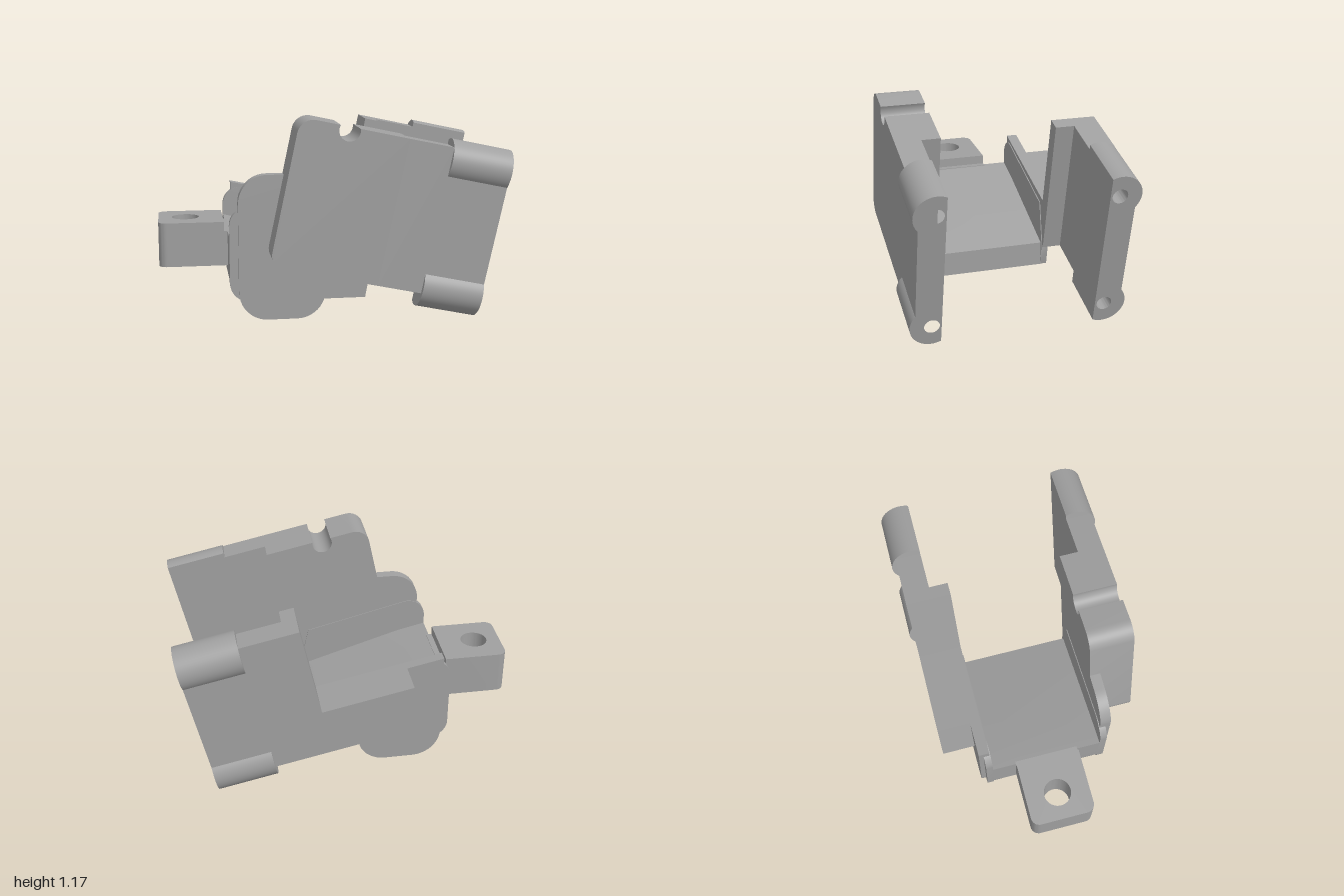
import * as THREE from 'three';
import { toCreasedNormals } from 'three/addons/utils/BufferGeometryUtils.js';

const TILT = -0.21; // lean of the side plates
const grey = new THREE.MeshStandardMaterial({ color: 0xa0a0a0 });
grey.name = 'plain grey';

// Polygon whose points [x, y, r] get a corner of radius r
function outline(points) {
  const shape = new THREE.Shape();
  const n = points.length;
  points.forEach(([x, y, r = 0], i) => {
    const p = new THREE.Vector2(x, y);
    const a = new THREE.Vector2(...points[(i + n - 1) % n].slice(0, 2)).sub(p).normalize();
    const b = new THREE.Vector2(...points[(i + 1) % n].slice(0, 2)).sub(p).normalize();
    if (!r) {
      i ? shape.lineTo(x, y) : shape.moveTo(x, y);
      return;
    }
    const half = Math.acos(a.dot(b)) / 2;
    const start = p.clone().addScaledVector(a, r / Math.tan(half));
    const end = p.clone().addScaledVector(b, r / Math.tan(half));
    const c = p.clone().addScaledVector(a.clone().add(b).normalize(), r / Math.sin(half));
    const a0 = Math.atan2(start.y - c.y, start.x - c.x);
    let sweep = Math.atan2(end.y - c.y, end.x - c.x) - a0;
    sweep = Math.atan2(Math.sin(sweep), Math.cos(sweep));
    for (let k = 0; k <= 10; k++) {
      const t = a0 + (sweep * k) / 10;
      const q = [c.x + r * Math.cos(t), c.y + r * Math.sin(t)];
      i || k ? shape.lineTo(...q) : shape.moveTo(...q);
    }
  });
  return shape;
}

function hole(shape, x, y, r) {
  shape.holes.push(new THREE.Path().absarc(x, y, r, 0, Math.PI * 2, true));
}

const extrude = (shape, depth) =>
  new THREE.ExtrudeGeometry(shape, { depth, bevelEnabled: false, curveSegments: 32 });

function mesh(name, geometry) {
  const m = new THREE.Mesh(toCreasedNormals(geometry, 0.5), grey);
  m.name = name;
  return m;
}

// Slab between two z values; side -1 puts it at the back
function slab(name, shape, z0, z1, side = 1) {
  return mesh(name, extrude(shape, z1 - z0).translate(0, 0, side > 0 ? z0 : -z1));
}

// Plate end with two round, drilled bosses, extruded along the plate
function bossEnd(side) {
  const low = 0.302, high = 1.034, cz = 0.5, r = 0.125;
  const inner = Math.acos(-0.055 / r), outer = Math.acos(0.095 / r);
  const pts = [];
  const arc = (cy, a0, a1) => {
    for (let k = 0; k <= 24; k++) {
      const t = a0 + ((a1 - a0) * k) / 24;
      pts.push(new THREE.Vector2(-side * (cz + r * Math.cos(t)), cy + r * Math.sin(t)));
    }
  };
  arc(low, -inner, outer);
  arc(high, -outer, inner);
  const shape = new THREE.Shape(pts);
  hole(shape, -side * cz, low, 0.044);
  hole(shape, -side * cz, high, 0.044);
  return mesh('bossEnd', extrude(shape, 0.352).rotateY(Math.PI / 2).translate(0.42, 0, 0));
}

// Thick part of the front plate, with a round notch in its top edge
function notchedOutline() {
  const pts = [[-0.46, 0.27, 0.08], [0.165, 0.27], [0.165, 1.118]];
  for (let k = 0; k <= 20; k++) {
    const t = 0.35 - ((Math.PI + 0.7) * k) / 20;
    pts.push([-0.177 + 0.06 * Math.cos(t), k % 20 ? 1.097 + 0.06 * Math.sin(t) : 1.118]);
  }
  return outline([...pts, [-0.46, 1.118, 0.09]]);
}

function sidePlate(side) {
  const plate = new THREE.Group();
  plate.name = side > 0 ? 'frontPlate' : 'backPlate';
  plate.rotation.z = TILT;
  const thick = side > 0
    ? notchedOutline()
    : outline([[-0.46, 0.27], [0.165, 0.27], [0.165, 1.118], [0.08, 1.118], [0.08, 0.56], [-0.46, 0.56]]);
  const thin = outline([[0.165, 0.27], [0.42, 0.27], [0.42, 1.118], [0.165, 1.118]]);
  plate.add(
    slab('thickPlate', thick, 0.335, 0.595, side),
    slab('thinPlate', thin, 0.445, 0.595, side),
    bossEnd(side)
  );
  return plate;
}

export function createModel() {
  const model = new THREE.Group();
  model.name = 'bracket';

  // Central body and its rounded foot
  const body = outline([[-0.6, 0.485], [-0.6, 0.2, 0.08], [-0.5, 0.105], [0.19, 0.105],
    [0.19, 0.25], [-0.43, 0.445]]);
  model.add(slab('body', body, -0.336, 0.336));
  const foot = outline([[-0.55, 0.23], [-0.55, 0, 0.165], [-0.05, 0, 0.165], [-0.05, 0.23]]);
  model.add(slab('foot', foot, -0.398, 0.398));

  // Cheeks and flanges between the body and the plates
  const cheek = outline([[-0.6, 0.69, 0.11], [-0.6, 0.12, 0.11], [-0.5, 0.105], [0.187, 0.105],
    [0.21, 0.23], [0.15, 0.5], [-0.45, 0.65]]);
  const tall = outline([[-0.55, 0.2], [-0.05, 0.2], [-0.05, 0.845], [-0.55, 0.845, 0.165]]);
  const cut = outline([[-0.55, 0.2], [-0.05, 0.2], [-0.05, 0.583], [-0.55, 0.69]]);
  for (const side of [1, -1]) {
    model.add(slab('cheek', cheek, 0.33, 0.37, side));
    model.add(slab('flange', side > 0 ? tall : cut, 0.335, 0.398, side));
    model.add(sidePlate(side));
  }

  // Mounting tab with a vertical hole
  const tab = outline([[-1, -0.19, 0.05], [-0.62, -0.19], [-0.62, 0.19], [-1, 0.19, 0.05]]);
  hole(tab, -0.84, 0, 0.08);
  model.add(mesh('tab', extrude(tab, 0.26).rotateX(-Math.PI / 2).translate(0, 0.28, 0)));
  model.add(mesh('tabRoot', new THREE.BoxGeometry(0.04, 0.205, 0.38).translate(-0.605, 0.3825, 0)));
  return model;
}
